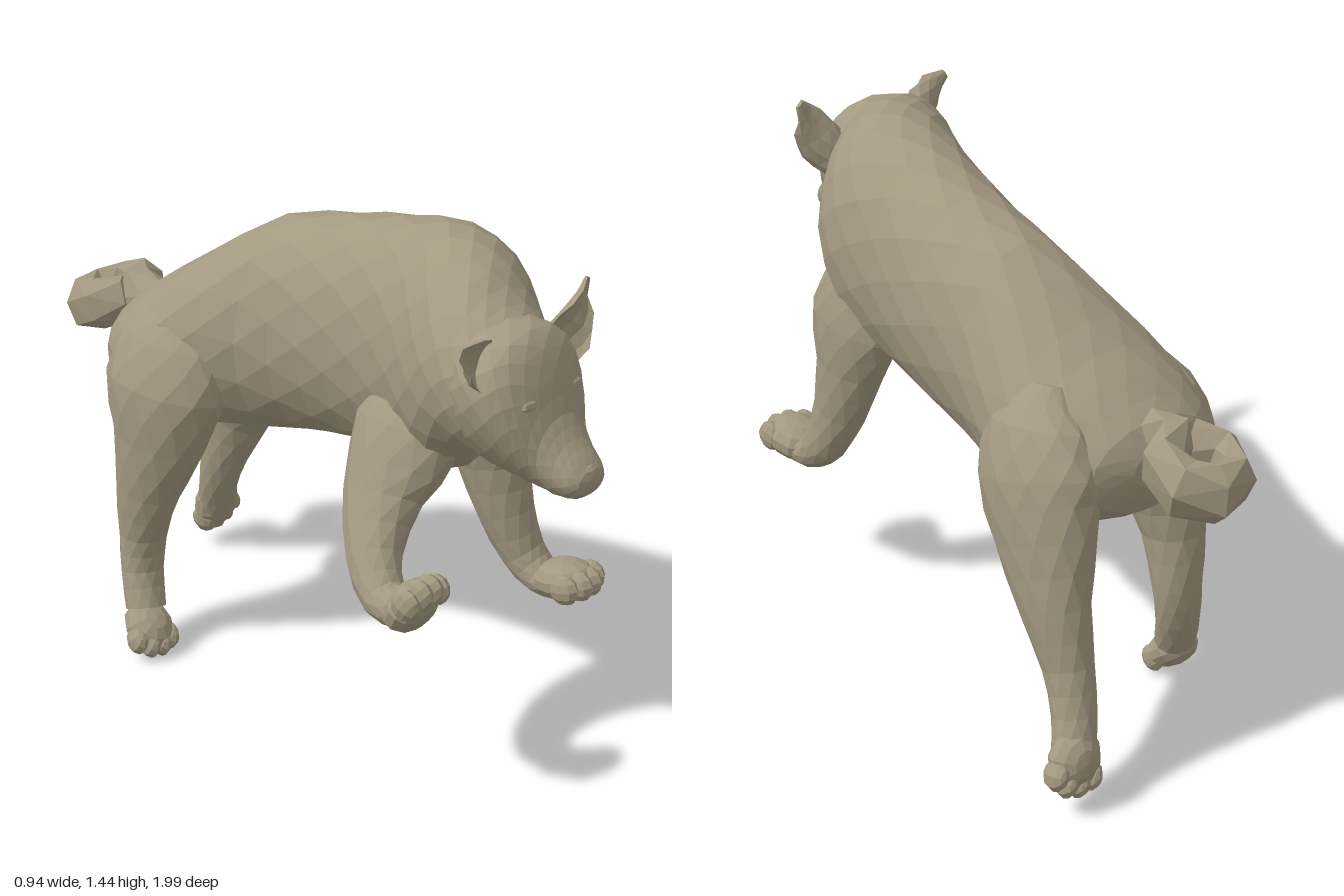
import * as THREE from 'three';

const fur = new THREE.MeshStandardMaterial({ color: 0xa39880, flatShading: true, side: THREE.DoubleSide });
const V = (x, y, z) => new THREE.Vector3(x, y, z);

// Smooth loft through rings [x, y, z, halfWidth, halfDepth, taper]; ref steers the width axis.
// axis fixes the ring plane; taper widens the front/top half and narrows the other;
// a cup value above 0 folds the front half of each ring back into a hollow.
function loft(name, rings, { sides = 12, steps = 2, ref = V(1, 0, 0), cup = 0, axis = null } = {}) {
  const path = new THREE.CatmullRomCurve3(rings.map((r) => V(r[0], r[1], r[2])));
  const size = new THREE.CatmullRomCurve3(rings.map((r) => V(r[3], r[4], r[5] ?? 0)));
  const n = (rings.length - 1) * steps;
  const pos = [], idx = [];
  for (let i = 0; i <= n; i++) {
    const c = path.getPoint(i / n), s = size.getPoint(i / n), t = axis ?? path.getTangent(i / n);
    const u = ref.clone().addScaledVector(t, -ref.dot(t)).normalize();
    const v = t.clone().cross(u);
    for (let j = 0; j < sides; j++) {
      const a = ((j + (i % 2) * 0.5) / sides) * Math.PI * 2;
      let w = Math.sin(a);
      const across = Math.cos(a) * s.x * (1 + s.z * w);
      if (cup && w > 0) w *= -cup;
      const p = c.clone().addScaledVector(u, across).addScaledVector(v, w * s.y);
      pos.push(p.x, p.y, p.z);
    }
  }
  for (let i = 0; i < n; i++) {
    for (let j = 0; j < sides; j++) {
      const k = (j + 1) % sides;
      const a = i * sides + j, b = i * sides + k, c = a + sides, d = b + sides;
      // Alternate diagonals follow the half-step twist
      if (i % 2) idx.push(a, b, d, a, d, c);
      else idx.push(a, b, c, b, d, c);
    }
  }
  // End caps
  const first = pos.length / 3, last = first + 1, end = n * sides;
  pos.push(...path.getPoint(0).toArray(), ...path.getPoint(1).toArray());
  for (let j = 0; j < sides; j++) {
    const k = (j + 1) % sides;
    idx.push(first, k, j, last, end + j, end + k);
  }
  const g = new THREE.BufferGeometry();
  g.setAttribute('position', new THREE.Float32BufferAttribute(pos, 3));
  g.setIndex(idx);
  g.computeVertexNormals();
  const mesh = new THREE.Mesh(g, fur);
  mesh.name = name;
  return mesh;
}

function blob(name, p, r, w = 10, h = 7) {
  const m = new THREE.Mesh(new THREE.SphereGeometry(1, w, h), fur);
  m.name = name;
  m.position.set(...p);
  m.scale.set(...r);
  return m;
}

// Paw with four toes pointing along +z before rotation
function paw(name, p, rot, scale) {
  const g = new THREE.Group();
  g.name = name;
  g.add(blob('pawBody', [0, 0, -0.01], [0.08, 0.056, 0.09]));
  for (const x of [-0.058, -0.02, 0.02, 0.058]) {
    g.add(blob('toe', [x, -0.006, 0.06 - Math.abs(x) * 0.5], [0.029, 0.042, 0.045], 8, 6));
  }
  g.position.set(...p);
  g.rotation.set(...rot);
  g.scale.setScalar(scale);
  return g;
}

// Ring centred between a top and bottom height, for upright cross-sections
const span = ([z, x, top, bottom, halfWidth, taper]) =>
  [x, (top + bottom) / 2, z, halfWidth, (top - bottom) / 2, taper];

export function createModel() {
  const model = new THREE.Group();
  model.name = 'dog';
  const upright = { sides: 16, axis: V(0, 0, 1) };

  // Trunk and neck, rump to throat: z, x, top, bottom, half width, taper
  model.add(loft('body', [
    [-0.735, 0.07, 0.93, 0.82, 0.09, 0],
    [-0.7, 0.07, 0.99, 0.74, 0.2, 0],
    [-0.6, 0.075, 1.07, 0.68, 0.275, -0.08],
    [-0.45, 0.08, 1.17, 0.66, 0.285, -0.1],
    [-0.22, 0.1, 1.315, 0.69, 0.22, -0.05],
    [0, 0.1, 1.37, 0.74, 0.215, 0],
    [0.2, 0.08, 1.42, 0.77, 0.22, 0],
    [0.38, 0.05, 1.455, 0.785, 0.245, 0],
    [0.5, 0, 1.452, 0.83, 0.25, 0],
    [0.61, -0.07, 1.42, 0.94, 0.22, 0],
    [0.7, -0.12, 1.365, 0.97, 0.185, 0.1],
    [0.77, -0.145, 1.33, 0.99, 0.15, 0.2],
  ].map(span), upright));

  // Head and face
  const head = new THREE.Group();
  head.name = 'head';
  head.add(loft('skull', [
    [0.64, -0.13, 1.34, 0.98, 0.15, 0.2],
    [0.73, -0.145, 1.35, 0.965, 0.172, 0.25],
    [0.8, -0.148, 1.342, 0.958, 0.17, 0.28],
    [0.84, -0.146, 1.3, 0.952, 0.155, 0.25],
    [0.87, -0.143, 1.235, 0.946, 0.13, 0.2],
    [0.9, -0.14, 1.145, 0.942, 0.1, 0.1],
    [0.935, -0.138, 1.09, 0.94, 0.085, 0],
    [0.97, -0.136, 1.05, 0.945, 0.072, 0],
    [0.99, -0.135, 1.025, 0.96, 0.052, 0],
    [0.998, -0.135, 1.005, 0.98, 0.02, 0],
  ].map(span), upright));
  head.add(blob('nose', [-0.135, 1.01, 0.975], [0.038, 0.026, 0.024], 8, 6));
  for (const s of [-1, 1]) {
    head.add(blob('eye', [-0.14 + s * 0.082, 1.145, 0.872], [0.022, 0.014, 0.014], 8, 6));
    head.add(blob('brow', [-0.142 + s * 0.08, 1.185, 0.86], [0.045, 0.022, 0.02], 8, 6));
  }
  const ear = { sides: 10, cup: 0.45 };
  head.add(loft('rightEar', [
    [-0.24, 1.25, 0.76, 0.06, 0.05],
    [-0.29, 1.285, 0.78, 0.065, 0.055],
    [-0.345, 1.325, 0.795, 0.045, 0.04],
    [-0.4, 1.352, 0.79, 0.015, 0.01],
  ], { ...ear, ref: V(0, -1, 0) }));
  head.add(loft('leftEar', [
    [0.01, 1.19, 0.75, 0.05, 0.05],
    [0.045, 1.25, 0.775, 0.068, 0.055],
    [0.085, 1.32, 0.785, 0.055, 0.04],
    [0.122, 1.388, 0.77, 0.015, 0.01],
  ], { ...ear, ref: V(0, 1, 0) }));
  model.add(head);

  // Legs, shoulder or hip to ankle
  model.add(loft('leftFrontLeg', [
    [0.16, 1.14, 0.36, 0.04, 0.06],
    [0.185, 1.02, 0.37, 0.08, 0.13],
    [0.2, 0.89, 0.395, 0.1, 0.165],
    [0.215, 0.75, 0.415, 0.085, 0.115],
    [0.23, 0.6, 0.45, 0.07, 0.085],
    [0.25, 0.48, 0.5, 0.06, 0.065],
    [0.255, 0.43, 0.56, 0.058, 0.05],
    [0.255, 0.43, 0.63, 0.06, 0.045],
  ]));
  model.add(loft('rightFrontLeg', [
    [-0.07, 1.1, 0.42, 0.05, 0.06],
    [-0.13, 0.95, 0.41, 0.1, 0.16],
    [-0.22, 0.79, 0.4, 0.088, 0.115],
    [-0.31, 0.665, 0.45, 0.07, 0.078],
    [-0.36, 0.595, 0.53, 0.06, 0.058],
    [-0.37, 0.595, 0.6, 0.06, 0.05],
  ]));
  model.add(loft('leftHindLeg', [
    [0.24, 1.06, -0.48, 0.04, 0.06],
    [0.265, 0.96, -0.49, 0.105, 0.16],
    [0.29, 0.83, -0.52, 0.13, 0.2],
    [0.315, 0.68, -0.58, 0.112, 0.165],
    [0.335, 0.52, -0.645, 0.085, 0.11],
    [0.335, 0.37, -0.7, 0.065, 0.075],
    [0.35, 0.25, -0.745, 0.06, 0.058],
    [0.38, 0.15, -0.78, 0.06, 0.055],
  ]));
  model.add(loft('rightHindLeg', [
    [-0.1, 1.04, -0.44, 0.04, 0.06],
    [-0.115, 0.95, -0.45, 0.1, 0.16],
    [-0.14, 0.82, -0.46, 0.135, 0.195],
    [-0.165, 0.66, -0.47, 0.108, 0.145],
    [-0.18, 0.5, -0.505, 0.08, 0.1],
    [-0.178, 0.35, -0.53, 0.07, 0.068],
    [-0.19, 0.24, -0.525, 0.065, 0.055],
    [-0.215, 0.14, -0.49, 0.06, 0.055],
  ]));
  model.add(paw('leftFrontPaw', [0.258, 0.447, 0.645], [-0.2, 0, 0], 1.02));
  model.add(paw('rightFrontPaw', [-0.372, 0.627, 0.635], [-1.0, 0, 0], 1));
  model.add(paw('leftHindPaw', [0.387, 0.148, -0.79], [1.75, 0.35, 0], 0.96));
  model.add(paw('rightHindPaw', [-0.23, 0.088, -0.46], [0.7, -0.25, 0], 0.92));

  // Tail curled into a ring
  const curl = [[0.06, 0.94, -0.68, 0.07, 0.07]];
  for (let i = 0; i <= 6; i++) {
    const a = i * 0.98, z = -0.86 + Math.cos(a) * 0.09;
    curl.push([0.06 + Math.sin(a) * 0.09, 0.915 + (z + 0.86) * 0.3, z, 0.09 - i * 0.003, 0.06 - i * 0.002]);
  }
  model.add(loft('tail', curl, { sides: 6, steps: 1, ref: V(0, 1, 0) }));

  return model;
}
